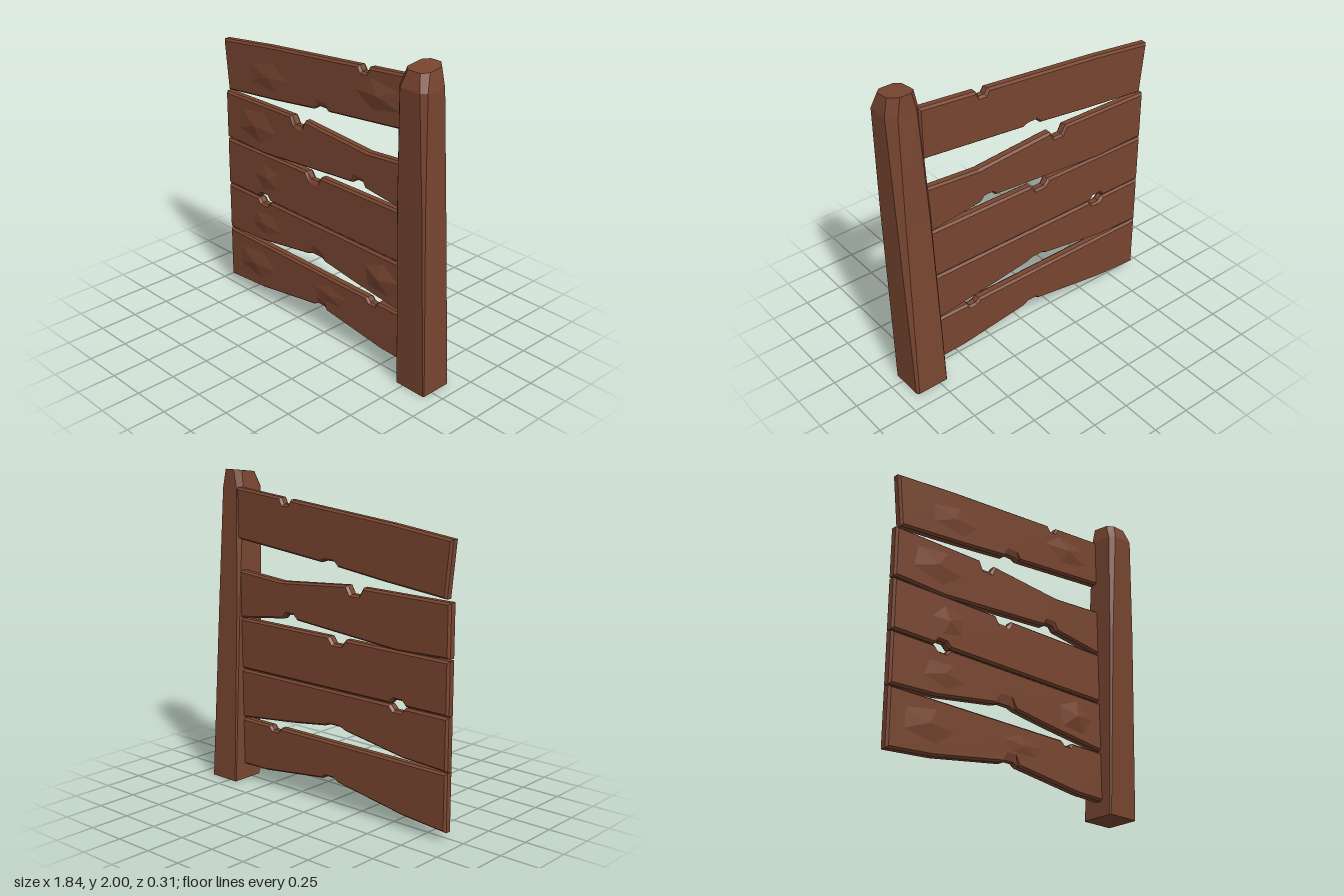
import * as THREE from 'three';

const END = 0.73; // boards stop just inside the post

// Height of an edge, given as a few points from left to right
function heightAt(edge, x) {
  const i = Math.max(1, edge.findIndex((point) => point[0] >= x));
  const [x0, y0] = edge[i - 1];
  const [x1, y1] = edge[i];
  return THREE.MathUtils.mapLinear(x, x0, x1, y0, y1);
}

// Cuts a flat-floored notch into an edge; a negative depth cuts down from a top edge
function cutNotch(edge, { x, w, depth }) {
  const left = [x - w, heightAt(edge, x - w)];
  const right = [x + w, heightAt(edge, x + w)];
  const floor = (left[1] + right[1]) / 2 + depth;
  return [
    ...edge.filter((point) => point[0] < x - w),
    left, [x - w * 0.5, floor], [x + w * 0.5, floor], right,
    ...edge.filter((point) => point[0] > x + w),
  ];
}

// Bevelled plank; each notch is chipped wider on the front face
function boardGeometry(top, bottom, topNotch, bottomNotch) {
  const outline = [...cutNotch(top, topNotch), ...cutNotch(bottom, bottomNotch).reverse()];
  const shape = new THREE.Shape(outline.map(([x, y]) => new THREE.Vector2(x, y)));
  const geometry = new THREE.ExtrudeGeometry(shape, {
    depth: 0.035, bevelEnabled: true, bevelSegments: 1, bevelThickness: 0.015, bevelSize: 0.012, bevelOffset: -0.012,
  });
  geometry.translate(0, 0, -0.05);
  const p = geometry.attributes.position;
  for (const [edge, { x, w, depth, chip }] of [[top, topNotch], [bottom, bottomNotch]]) {
    const floor = (heightAt(edge, x - w) + heightAt(edge, x + w)) / 2 + depth;
    for (let i = 0; i < p.count; i++) {
      const onFloor = Math.abs(p.getX(i) - x) < w * 0.75 && Math.abs(p.getY(i) - floor) < 0.025;
      if (onFloor && p.getZ(i) > -0.001) p.setY(i, p.getY(i) + chip);
    }
  }
  geometry.computeVertexNormals();
  return geometry;
}

// Low faceted swelling on the face of a board
function knotGeometry(x, y, rx, ry, height, turn) {
  const geometry = new THREE.ConeGeometry(1, height, 5, 1, true);
  geometry.rotateX(Math.PI / 2);
  geometry.rotateZ(turn);
  geometry.scale(rx, ry, 1);
  geometry.translate(x, y, height / 2 - 0.001);
  return geometry;
}

// Leaning post: chamfered cross-sections, the chamfers widening upwards
function postGeometry() {
  // y, x0, x1, z0, z1, chamfer, back right chamfer
  const sections = [
    [0, 0.695, 0.915, -0.152, 0.07, 0.006, 0.014],
    [1.2, 0.702, 0.911, -0.09, 0.125, 0.014, 0.035],
    [1.88, 0.708, 0.908, -0.056, 0.155, 0.03, 0.05],
    [1.99, 0.728, 0.885, -0.052, 0.125, 0.035, 0.05],
  ];
  const positions = [];
  const index = [];
  const n = 8;
  const last = sections.length - 1;
  sections.forEach(([y, x0, x1, z0, z1, c, b], s) => {
    const ring = [
      [x0, z1 - c], [x0 + c, z1], [x1 - c, z1], [x1, z1 - c],
      [x1, z0 + b], [x1 - b, z0], [x0 + c, z0], [x0, z0 + c],
    ];
    // the top is cut at a slant
    ring.forEach(([x, z]) => positions.push(x, s === last ? y - z * 0.12 : y, z));
  });
  for (let s = 0; s < last; s++) {
    for (let i = 0; i < n; i++) {
      const a = s * n + i;
      const b = s * n + ((i + 1) % n);
      index.push(a, b, b + n, a, b + n, a + n);
    }
  }
  const top = last * n;
  for (let i = 1; i < n - 1; i++) {
    index.push(top, top + i, top + i + 1);
    index.push(0, i + 1, i);
  }
  const geometry = new THREE.BufferGeometry();
  geometry.setAttribute('position', new THREE.Float32BufferAttribute(positions, 3));
  geometry.setIndex(index);
  const flat = geometry.toNonIndexed();
  flat.computeVertexNormals();
  return flat;
}

export function createModel() {
  const wood = new THREE.MeshStandardMaterial({ color: 0x784530, flatShading: true });
  wood.name = 'brown wood';

  const model = new THREE.Group();
  model.name = 'fenceSection';
  const add = (parent, geometry, name) => {
    const mesh = new THREE.Mesh(geometry, wood);
    mesh.name = name;
    parent.add(mesh);
  };
  const addBoard = (name, plank, knots) => {
    const group = new THREE.Group();
    group.name = name;
    add(group, plank, 'plank');
    knots.forEach((knot) => add(group, knot, 'knot'));
    model.add(group);
  };

  add(model, postGeometry(), 'post');

  addBoard('topBoard', boardGeometry(
    [[-0.92, 1.725], [-0.5, 1.775], [END, 1.89]],
    [[-0.885, 1.395], [-0.45, 1.44], [0, 1.495], [END, 1.57]],
    { x: 0.315, w: 0.04, depth: -0.035, chip: 0 },
    { x: -0.035, w: 0.065, depth: 0.022, chip: 0.025 },
  ), [knotGeometry(-0.5, 1.58, 0.2, 0.1, 0.015, 0.4), knotGeometry(0.44, 1.71, 0.2, 0.1, 0.02, 1)]);

  addBoard('upperBoard', boardGeometry(
    [[-0.915, 1.38], [-0.2, 1.388], [0.35, 1.345], [END, 1.375]],
    [[-0.915, 1.065], [-0.55, 1.055], [0.28, 1.122], [END, 1.065]],
    { x: -0.235, w: 0.06, depth: -0.05, chip: -0.01 },
    { x: 0.285, w: 0.055, depth: 0.03, chip: 0.015 },
  ), [knotGeometry(-0.62, 1.23, 0.2, 0.12, 0.02, 0.2)]);

  addBoard('middleBoard', boardGeometry(
    [[-0.915, 1.055], [END, 1.067]],
    [[-0.915, 0.739], [END, 0.739]],
    { x: -0.1, w: 0.065, depth: -0.04, chip: -0.012 },
    { x: -0.56, w: 0.055, depth: 0.029, chip: 0 },
  ), [knotGeometry(-0.52, 0.9, 0.13, 0.1, 0.015, 0.9)]);

  addBoard('lowerBoard', boardGeometry(
    [[-0.915, 0.733], [END, 0.733]],
    [[-0.915, 0.415], [-0.6, 0.43], [-0.08, 0.512], [0.25, 0.465], [END, 0.41]],
    { x: -0.56, w: 0.055, depth: -0.029, chip: 0 },
    { x: -0.08, w: 0.08, depth: 0.016, chip: 0.045 },
  ), [knotGeometry(0.48, 0.58, 0.15, 0.11, 0.028, 0.5), knotGeometry(-0.55, 0.57, 0.16, 0.09, 0.015, 0.1)]);

  addBoard('bottomBoard', boardGeometry(
    [[-0.915, 0.41], [END, 0.407]],
    [[-0.915, 0.055], [-0.6, 0.08], [-0.1, 0.16], [0.02, 0.16], [0.5, 0.1], [END, 0.095]],
    { x: 0.415, w: 0.045, depth: -0.025, chip: 0 },
    { x: -0.04, w: 0.06, depth: 0.02, chip: 0.035 },
  ), [knotGeometry(-0.65, 0.25, 0.2, 0.11, 0.02, 0.3), knotGeometry(0.05, 0.29, 0.17, 0.07, 0.012, 0.7)]);

  return model;
}
